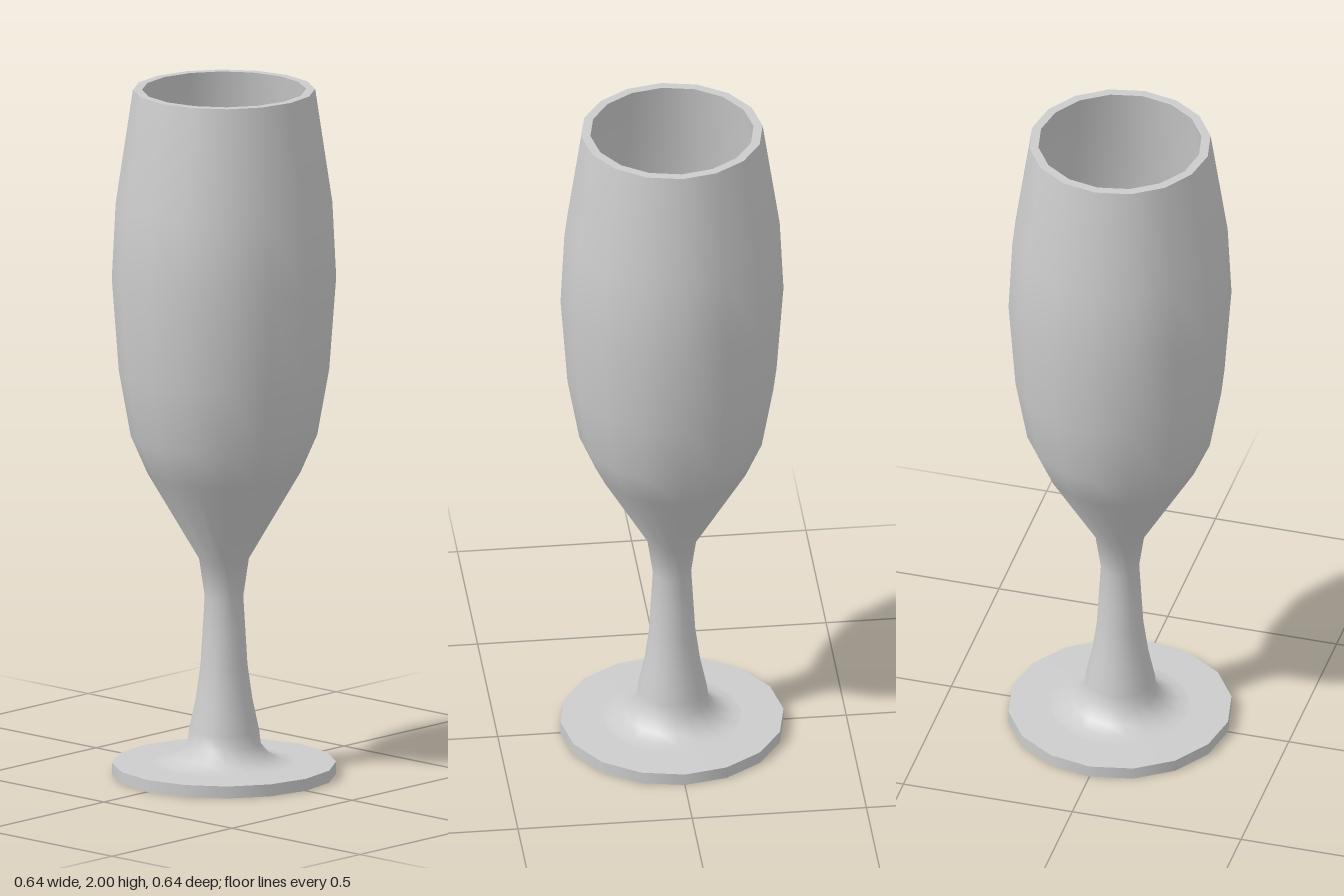
import * as THREE from 'three';

const SIDES = 16;

export function createModel() {
  const group = new THREE.Group();
  group.name = 'champagneFlute';
  const glass = new THREE.MeshStandardMaterial({ color: 0xcccccc });
  glass.name = 'pale grey glass';

  // Turn a profile of [radius, height] points; smooth within, sharp between strips
  function turn(name, profile) {
    const points = profile.map(([r, y]) => new THREE.Vector2(r, y));
    const mesh = new THREE.Mesh(new THREE.LatheGeometry(points, SIDES), glass);
    mesh.name = name;
    group.add(mesh);
  }

  // Foot: a thin disc
  turn('footUnderside', [[0, 0], [0.32, 0]]);
  turn('footEdge', [[0.32, 0], [0.32, 0.035]]);
  turn('footTop', [[0.32, 0.035], [0.2, 0.037]]);

  // Stem: flares into the foot and narrows towards the bowl
  turn('stem', [
    [0.2, 0.037], [0.17, 0.04], [0.135, 0.055], [0.105, 0.09], [0.1, 0.13],
    [0.081, 0.22], [0.067, 0.32], [0.061, 0.42],
  ]);

  // Bowl outside, starting at the waist
  turn('bowlOutside', [
    [0.061, 0.42], [0.055, 0.52], [0.071, 0.63], [0.218, 0.88], [0.266, 0.99],
    [0.3, 1.18], [0.32, 1.45], [0.309, 1.67], [0.26, 2],
  ]);

  // Flat rim and hollow inside
  turn('rim', [[0.26, 2], [0.234, 2]]);
  turn('bowlInside', [
    [0.234, 2], [0.283, 1.67], [0.293, 1.45], [0.274, 1.18], [0.24, 1],
    [0.195, 0.9], [0.06, 0.69], [0, 0.67],
  ]);

  return group;
}
